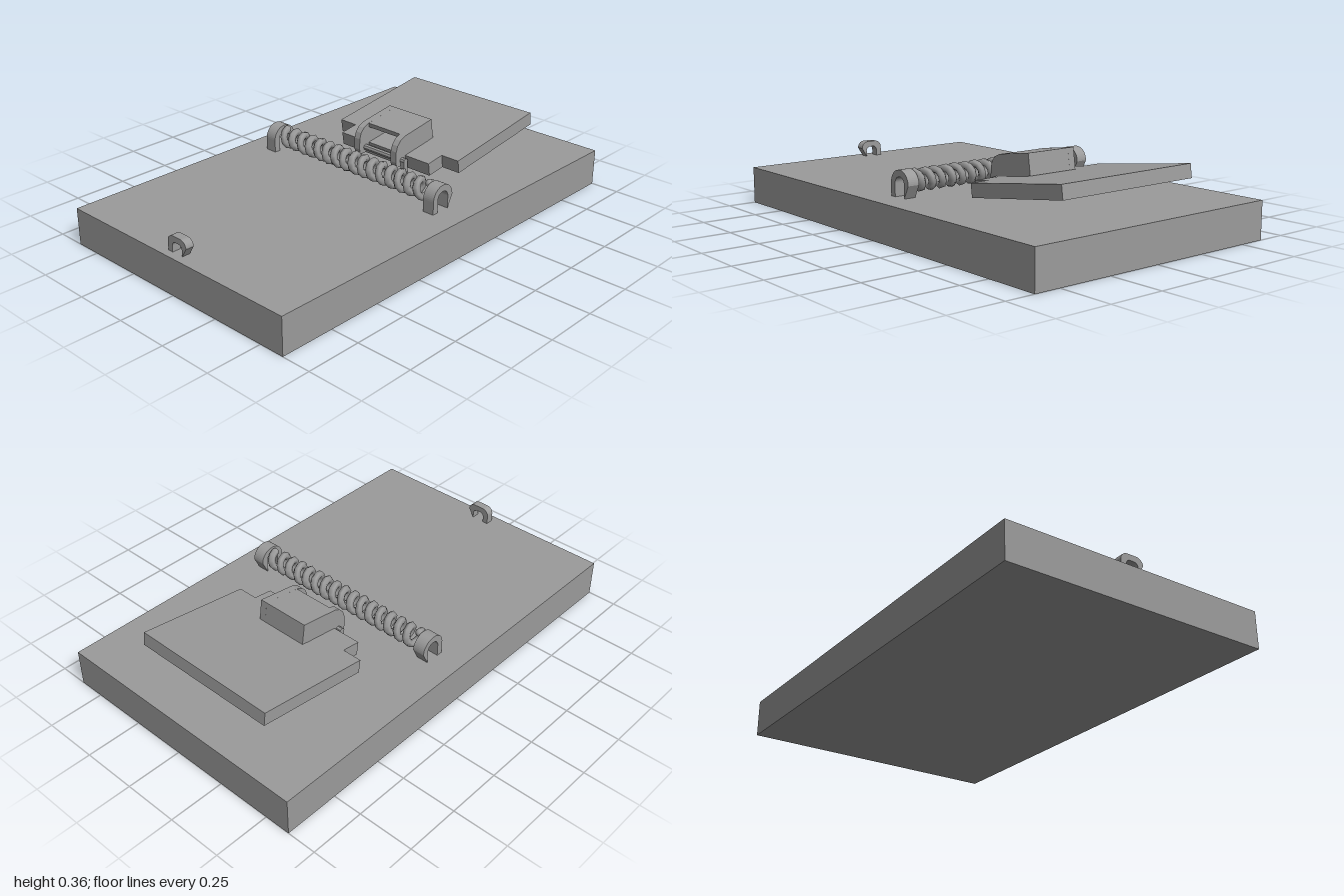
import * as THREE from 'three';

const material = new THREE.MeshStandardMaterial({ color: 0x9b9b9b, flatShading: true });
const smooth = new THREE.MeshStandardMaterial({ color: 0x9b9b9b });
const TOP = 0.168; // upper face of the board

export function createModel() {
  const model = new THREE.Group();

  function add(parent, name, geometry, x = 0, y = 0, z = 0, mat = material) {
    const mesh = new THREE.Mesh(geometry, mat);
    mesh.name = name;
    mesh.position.set(x, y, z);
    parent.add(mesh);
    return mesh;
  }

  function extrude(shape, depth) {
    return new THREE.ExtrudeGeometry(shape, { depth, bevelEnabled: false, curveSegments: 6 });
  }

  // Extrudes a side profile of [-z, y] points across x, centred on x = 0
  function extrudeAcross(points, width) {
    const shape = new THREE.Shape(points.map(p => new THREE.Vector2(...p)));
    return extrude(shape, width).translate(0, 0, -width / 2).rotateY(Math.PI / 2);
  }

  // Staple standing on y = 0, facing z; each arch is [half width, height, corner radius]
  function stapleGeometry([ow, oh, or], [iw, ih, ir], depth) {
    const shape = new THREE.Shape();
    shape.moveTo(ow, 0);
    shape.absarc(ow - or, oh - or, or, 0, Math.PI / 2, false);
    shape.absarc(or - ow, oh - or, or, Math.PI / 2, Math.PI, false);
    shape.lineTo(-ow, 0);
    shape.lineTo(-iw, 0);
    shape.absarc(ir - iw, ih - ir, ir, Math.PI, Math.PI / 2, true);
    shape.absarc(iw - ir, ih - ir, ir, Math.PI / 2, 0, true);
    shape.lineTo(iw, 0);
    return extrude(shape, depth).translate(0, 0, -depth / 2);
  }

  // Board
  add(model, 'board', new THREE.BoxGeometry(1.236, TOP, 2), 0, TOP / 2, 0);

  // Staples holding the spring, and the small one at the front edge
  for (const side of [-1, 1]) {
    const geometry = stapleGeometry([0.061, 0.117, 0.06], [0.032, 0.088, 0.031], 0.055).rotateY(Math.PI / 2);
    add(model, side > 0 ? 'leftSpringStaple' : 'rightSpringStaple', geometry, side * 0.472, TOP, -0.03);
  }
  const frontStaple = stapleGeometry([0.055, 0.073, 0.032], [0.029, 0.047, 0.02], 0.038);
  add(model, 'frontStaple', frontStaple, 0, TOP, 0.946);

  // Coil spring
  const turns = 16, steps = 10, coil = [];
  for (let i = 0; i <= turns * steps; i++) {
    const t = i / steps, a = t * Math.PI * 2;
    coil.push(new THREE.Vector3(-0.425 + 0.85 * t / turns, 0.035 * Math.cos(a), 0.035 * Math.sin(a)));
  }
  const wire = new THREE.TubeGeometry(new THREE.CatmullRomCurve3(coil), turns * steps, 0.0175, 6);
  add(model, 'spring', wire, 0, 0.234, -0.03, smooth);
  for (const end of [0, coil.length - 1]) {
    const cap = new THREE.SphereGeometry(0.0175, 8, 6);
    add(model, 'springEnd', cap, coil[end].x, 0.234 + coil[end].y, -0.03 + coil[end].z, smooth);
  }

  // Tilted trigger plate with a narrower front tab
  const outline = new THREE.Shape([
    [-0.26, 0], [0.26, 0], [0.26, 0.09], [0.352, 0.09],
    [0.352, 0.625], [-0.352, 0.625], [-0.352, 0.09], [-0.26, 0.09],
  ].map(p => new THREE.Vector2(...p)));
  const plate = add(model, 'triggerPlate', extrude(outline, 0.06).rotateX(-Math.PI / 2), 0, 0.183, -0.232);
  plate.rotation.x = 0.138;

  // Hollow catch housing, open at the front: two curled cheeks, a roof and a rear wall
  const catchHousing = new THREE.Group();
  catchHousing.name = 'catchHousing';
  model.add(catchHousing);
  const cheek = [
    [0.168, 0.2], [0.162, 0.225], [0.163, 0.275], [0.172, 0.302], [0.19, 0.322], [0.22, 0.336],
    [0.4, 0.363], [0.414, 0.27], [0.235, 0.24], [0.22, 0.21], [0.2, 0.2],
  ];
  for (const side of [-1, 1]) {
    add(catchHousing, side > 0 ? 'leftCheek' : 'rightCheek', extrudeAcross(cheek, 0.032), side * 0.109);
  }
  const roof = [[0.222, 0.336], [0.4, 0.363], [0.403, 0.342], [0.225, 0.316]];
  add(catchHousing, 'roof', extrudeAcross(roof, 0.188));
  const rear = [[0.38, 0.355], [0.4, 0.36], [0.414, 0.27], [0.392, 0.265]];
  add(catchHousing, 'rearWall', extrudeAcross(rear, 0.188));

  // Hinge pin bent down into the board at both ends
  add(model, 'hingePin', new THREE.CylinderGeometry(0.014, 0.014, 0.296, 8).rotateZ(Math.PI / 2), 0, 0.226, -0.202);
  for (const side of [-1, 1]) {
    const leg = new THREE.BoxGeometry(0.02, 0.072, 0.024);
    add(model, side > 0 ? 'leftHingeLeg' : 'rightHingeLeg', leg, side * 0.138, TOP + 0.026, -0.202);
  }

  return model;
}
